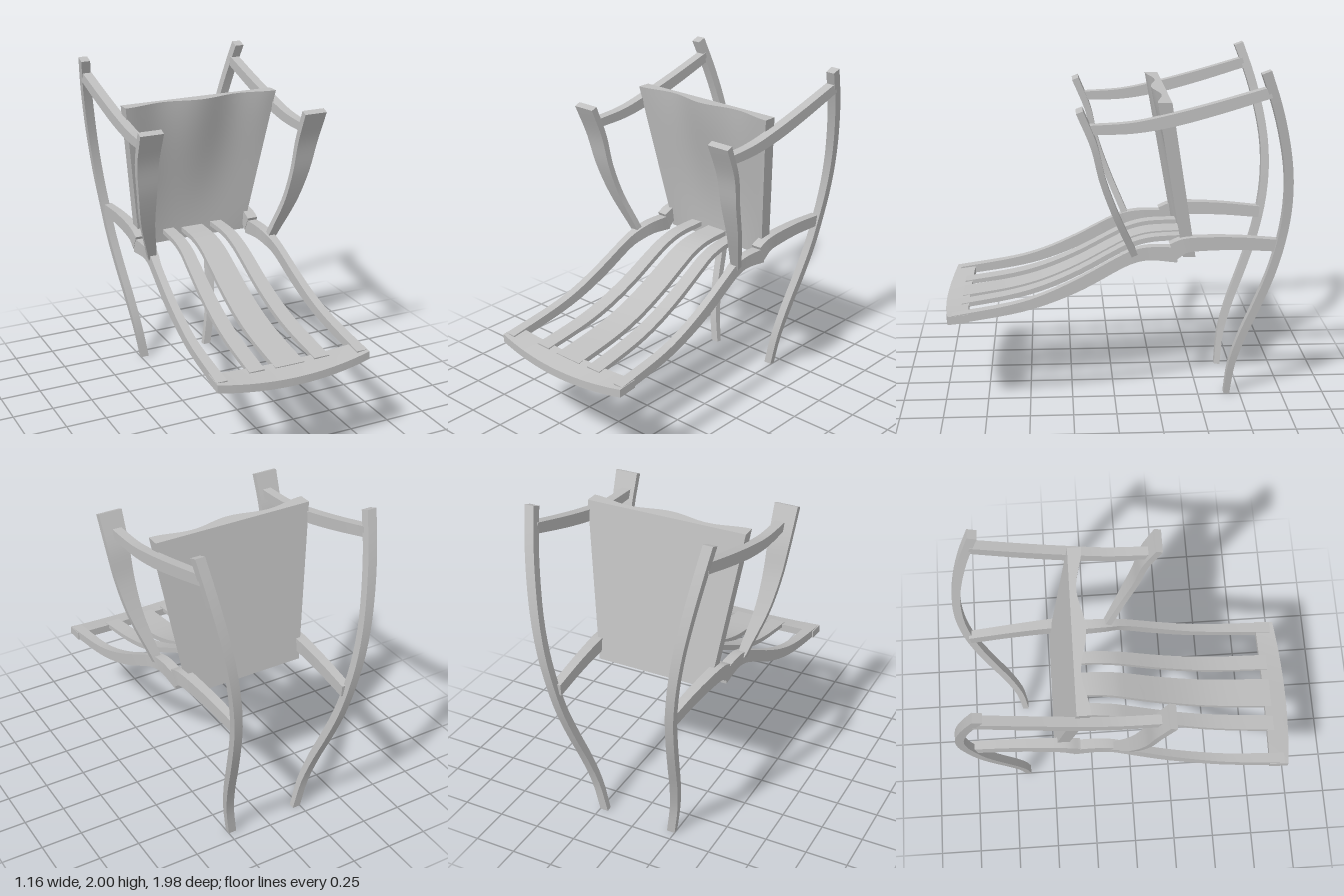
import * as THREE from 'three';
import { toCreasedNormals } from 'three/addons/utils/BufferGeometryUtils.js';

const lerp = THREE.MathUtils.lerp;

// Curved rectangular bar through stations [x, y, z, width, thickness]
function barGeometry(stations, side = 1, steps = 28) {
  const path = new THREE.CatmullRomCurve3(
    stations.map(([x, y, z]) => new THREE.Vector3(x * side, y, z)), false, 'catmullrom');
  const size = new THREE.CatmullRomCurve3(
    stations.map(([, , , w, t]) => new THREE.Vector3(w, t, 0)), false, 'catmullrom');
  const positions = [], index = [];
  for (let i = 0; i <= steps; i++) {
    const u = i / steps, p = path.getPoint(u), s = size.getPoint(u);
    const d = path.getTangent(u);
    const len = Math.hypot(d.y, d.z);
    // thickness direction lies in the side plane, width runs along x
    const ny = d.z / len * s.y / 2, nz = -d.y / len * s.y / 2;
    for (const [a, b] of [[1, 1], [-1, 1], [-1, -1], [1, -1]])
      positions.push(p.x + a * s.x / 2, p.y + b * ny, p.z + b * nz);
    if (i === steps) continue;
    for (let k = 0; k < 4; k++) {
      const a = i * 4 + k, b = i * 4 + (k + 1) % 4;
      index.push(a, b, b + 4, a, b + 4, a + 4);
    }
  }
  const e = steps * 4;
  index.push(0, 3, 2, 0, 2, 1, e, e + 1, e + 2, e, e + 2, e + 3);
  const g = new THREE.BufferGeometry();
  g.setAttribute('position', new THREE.Float32BufferAttribute(positions, 3));
  g.setIndex(index);
  return toCreasedNormals(g, 0.6);
}

// Unit box reshaped by rule(u, v, w), with u, v, w from -1 to 1
function shapedBox(nx, ny, nz, rule) {
  const g = new THREE.BoxGeometry(2, 2, 2, nx, ny, nz);
  const p = g.attributes.position;
  for (let i = 0; i < p.count; i++) p.setXYZ(i, ...rule(p.getX(i), p.getY(i), p.getZ(i)));
  g.deleteAttribute('normal');
  g.deleteAttribute('uv');
  return toCreasedNormals(g, 0.6);
}

export function createModel() {
  const model = new THREE.Group();
  model.name = 'tippedArmchair';
  const grey = new THREE.MeshStandardMaterial({ color: 0xbfbfbf });
  grey.name = 'plain grey';
  const add = (name, geometry) => {
    const m = new THREE.Mesh(geometry, grey);
    m.name = name;
    model.add(m);
  };

  // Bars that occur on both sides
  const paired = {
    Leg: [
      [0.225, 0, -0.672, 0.05, 0.035], [0.257, 0.2, -0.693, 0.05, 0.04],
      [0.288, 0.4, -0.75, 0.05, 0.045], [0.318, 0.6, -0.826, 0.05, 0.048],
      [0.345, 0.8, -0.895, 0.05, 0.048], [0.367, 1.0, -0.943, 0.05, 0.048],
      [0.394, 1.2, -0.966, 0.052, 0.048], [0.423, 1.4, -0.96, 0.054, 0.048],
      [0.455, 1.6, -0.925, 0.056, 0.05], [0.488, 1.8, -0.87, 0.056, 0.052],
      [0.517, 1.99, -0.80, 0.056, 0.055]],
    ArmRest: [
      [0.493, 1.68, 0.165, 0.055, 0.05], [0.495, 1.69, -0.08, 0.055, 0.06],
      [0.497, 1.73, -0.3, 0.056, 0.068], [0.498, 1.795, -0.55, 0.056, 0.066],
      [0.5, 1.878, -0.83, 0.056, 0.06]],
    ArmPost: [
      [0.51, 1.79, 0.205, 0.14, 0.04], [0.505, 1.6, 0.128, 0.13, 0.038],
      [0.49, 1.4, 0.08, 0.11, 0.036], [0.463, 1.2, 0.01, 0.085, 0.036],
      [0.41, 1.0, -0.075, 0.06, 0.038], [0.392, 0.93, -0.105, 0.05, 0.038]],
    BackStile: [
      [0.434, 0.582, 0.93, 0.065, 0.05], [0.428, 0.635, 0.6, 0.055, 0.055],
      [0.42, 0.69, 0.4, 0.05, 0.062], [0.412, 0.775, 0.2, 0.046, 0.07],
      [0.4, 0.882, 0, 0.045, 0.07], [0.385, 0.925, -0.1, 0.055, 0.075],
      [0.378, 0.94, -0.2, 0.06, 0.078], [0.378, 0.93, -0.35, 0.06, 0.09]],
    SeatRail: [
      [0.378, 0.95, -0.325, 0.065, 0.1], [0.378, 0.983, -0.39, 0.065, 0.085],
      [0.372, 0.99, -0.5, 0.06, 0.08], [0.36, 0.985, -0.7, 0.055, 0.075],
      [0.348, 0.965, -0.93, 0.052, 0.07]],
    OuterSlat: [
      [0.202, 0.588, 0.89, 0.095, 0.025], [0.193, 0.635, 0.6, 0.092, 0.028],
      [0.187, 0.69, 0.4, 0.088, 0.03], [0.18, 0.775, 0.2, 0.084, 0.03],
      [0.173, 0.882, 0, 0.08, 0.03], [0.168, 0.93, -0.1, 0.077, 0.03],
      [0.165, 0.96, -0.22, 0.075, 0.03], [0.16, 0.968, -0.4, 0.072, 0.03]]
  };
  for (const [part, stations] of Object.entries(paired)) {
    add('left' + part, barGeometry(stations, 1));
    add('right' + part, barGeometry(stations, -1));
  }

  // Wide centre slat follows the outer slats, slightly lower
  add('centreSlat', barGeometry(paired.OuterSlat.map(
    ([, y, z], i) => [0, y - 0.008, z, 0.18 - i * 0.006, 0.03])));

  // Bowed crest rail at the end of the backrest
  add('crestRail', shapedBox(20, 1, 1, (u, v, w) => {
    const front = (w + 1) / 2, q = u * u;
    const top = lerp(0.6 + 0.015 * q, 0.565 + 0.038 * q, front);
    const z = lerp(0.85 - 0.01 * q, 0.99 - 0.035 * q, front);
    return [0.47 * u, v > 0 ? top : top - 0.048, z];
  }));

  // Saddle seat: tapered slab with two hollows and a centre ridge at its front edge
  add('seat', shapedBox(32, 24, 1, (u, v, w) => {
    const t = (v + 1) / 2;
    const ridged = Math.sin(Math.PI * u) ** 2;
    const dished = (1 - u * u) * Math.sin(Math.PI * Math.min(1, t * 0.9 + 0.1));
    const dip = 0.04 * lerp(dished, ridged, t * t);
    const z = w > 0 ? lerp(-0.385, -0.222, t) - dip : lerp(-0.457, -0.3, t);
    return [u * lerp(0.355, 0.485, t), lerp(0.9, 1.82, t), z];
  }));

  // Settle exactly on the ground and centre
  const box = new THREE.Box3().setFromObject(model);
  model.children.forEach(m => {
    m.position.y -= box.min.y;
    m.position.z -= (box.min.z + box.max.z) / 2;
  });
  return model;
}
